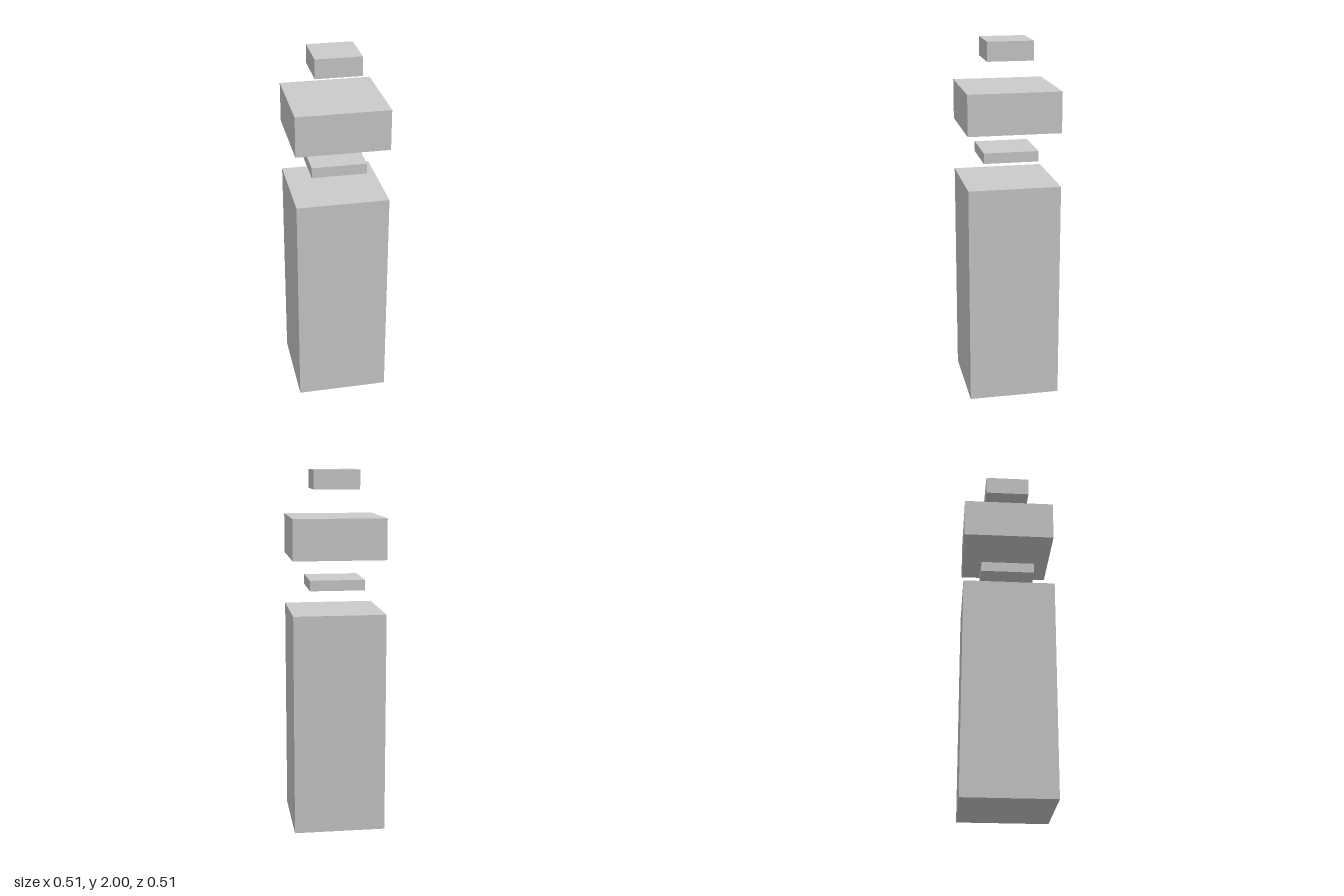
import * as THREE from 'three';

// Floating stack of square blocks: name, width, bottom, top
const BLOCKS = [
  ['body', 0.508, 0, 1.228],
  ['neck', 0.303, 1.349, 1.407],
  ['head', 0.508, 1.524, 1.747],
  ['cap', 0.252, 1.895, 2],
];

export function createModel() {
  const group = new THREE.Group();
  const material = new THREE.MeshStandardMaterial({ color: 0xcccccc, flatShading: true });

  for (const [name, width, bottom, top] of BLOCKS) {
    const block = new THREE.Mesh(new THREE.BoxGeometry(width, top - bottom, width), material);
    block.name = name;
    block.position.y = (bottom + top) / 2;
    group.add(block);
  }
  return group;
}
